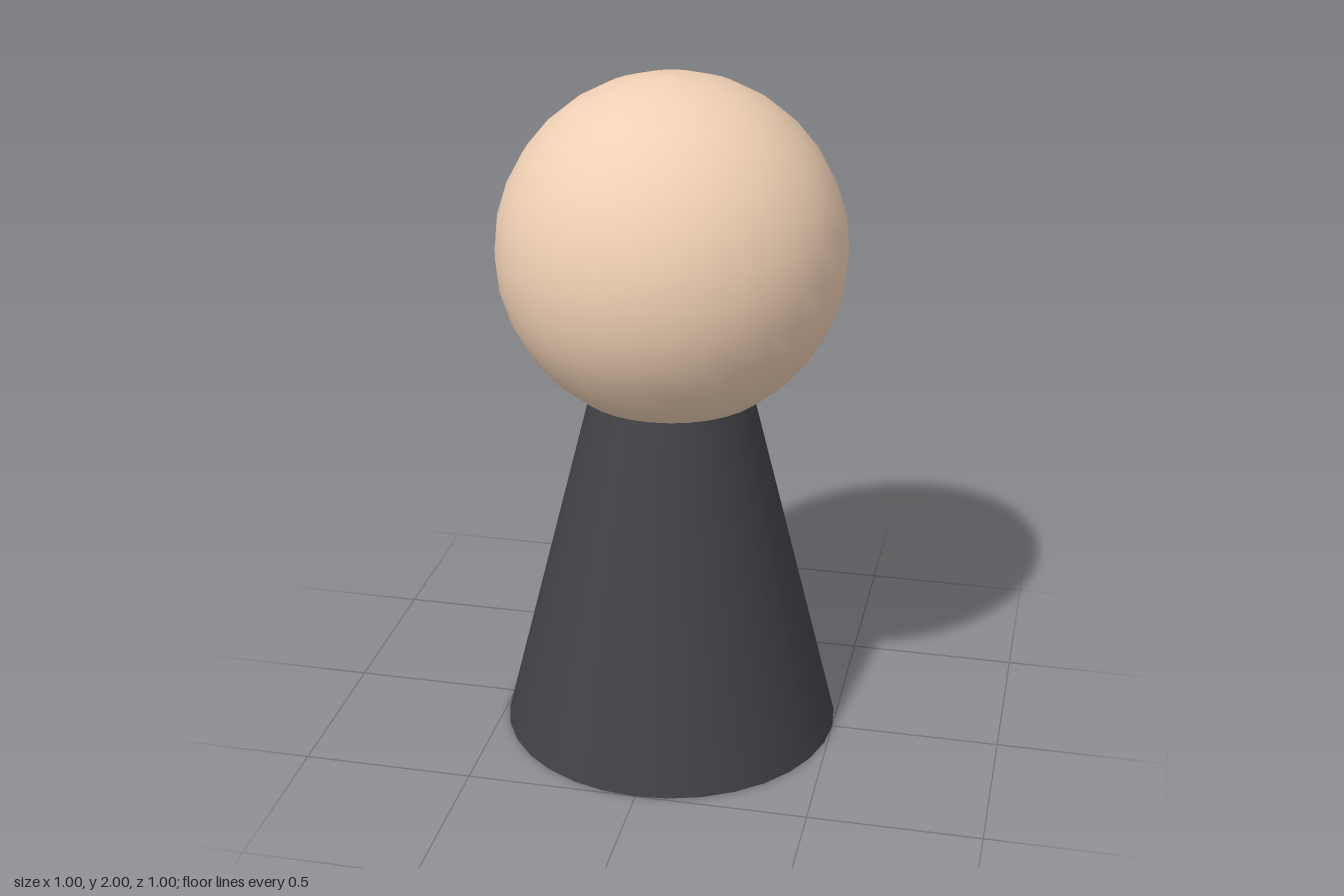
import * as THREE from 'three';

const SEGMENTS = 32;
const HEAD_RADIUS = 0.5;
const HEAD_Y = 1.5;
const NECK_Y = 1.07;
const NECK_RADIUS = 0.234;

export function createModel() {
  const group = new THREE.Group();
  group.name = 'pawnFigure';

  // Tapered body, smooth sides with closed ends
  const body = new THREE.Mesh(
    new THREE.CylinderGeometry(NECK_RADIUS, 0.5, NECK_Y, SEGMENTS),
    new THREE.MeshStandardMaterial({ color: 0x424247 })
  );
  body.name = 'body';
  body.position.y = NECK_Y / 2;
  group.add(body);

  // Round head, profile from the neck opening up to the crown
  const profile = [new THREE.Vector2(NECK_RADIUS, NECK_Y)];
  for (let i = 3; i <= 16; i++) {
    const a = (i / 16) * Math.PI;
    const r = i === 16 ? 0 : HEAD_RADIUS * Math.sin(a);
    profile.push(new THREE.Vector2(r, HEAD_Y - HEAD_RADIUS * Math.cos(a)));
  }
  const head = new THREE.Mesh(
    new THREE.LatheGeometry(profile, SEGMENTS),
    new THREE.MeshStandardMaterial({ color: 0xf0d0b4 })
  );
  head.name = 'head';
  group.add(head);

  return group;
}
